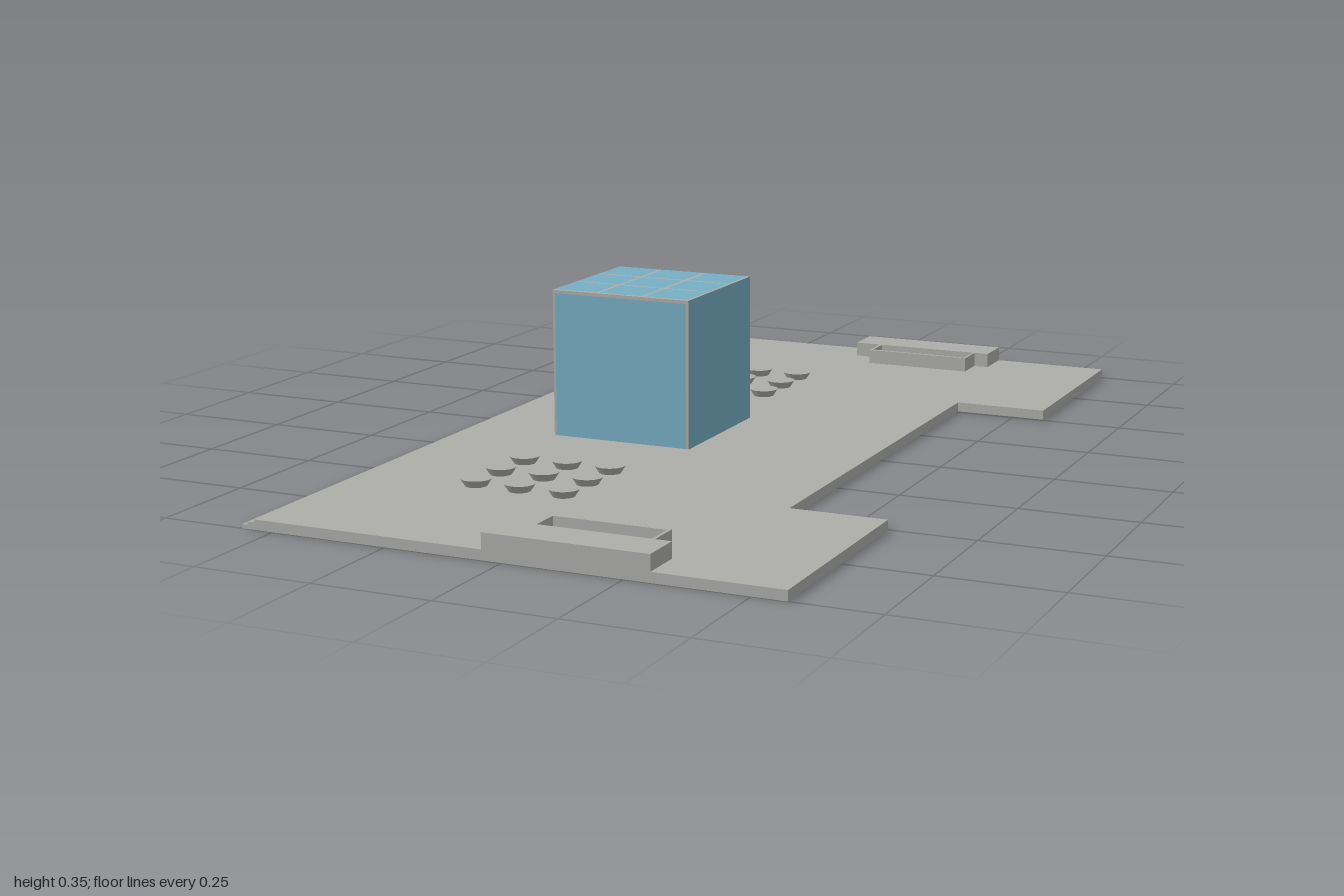
import * as THREE from 'three';

export function createModel() {
  const model = new THREE.Group();
  model.name = 'hullSection';
  const grey = new THREE.MeshStandardMaterial({ color: 0xadaeaa });
  grey.name = 'hull grey';
  const blue = new THREE.MeshStandardMaterial({ color: 0x76aec4 });
  blue.name = 'panel blue';

  const add = (name, geometry, material, parent = model) => {
    const mesh = new THREE.Mesh(geometry, material);
    mesh.name = name;
    parent.add(mesh);
    return mesh;
  };
  // Box given by its limits on each axis
  const box = (name, x0, x1, y0, y1, z0, z1, material = grey, parent = model) => {
    const mesh = add(name, new THREE.BoxGeometry(x1 - x0, y1 - y0, z1 - z0), material, parent);
    mesh.position.set((x0 + x1) / 2, (y0 + y1) / 2, (z0 + z1) / 2);
    return mesh;
  };

  // Notched deck outline, drawn in x and -z; inset shrinks it on all sides
  const outline = (left, i = 0) => [
    [left + i, -1 + i], [0.57 - i, -1 + i], [0.57 - i, -0.503 - i], [0.365 - i, -0.503 - i],
    [0.365 - i, 0.508 + i], [0.57 - i, 0.508 + i], [0.57 - i, 1 - i], [left + i, 1 - i],
  ].map(([x, y]) => new THREE.Vector2(x, y));
  const layer = (name, left, y0, y1, rim = 0) => {
    const shape = new THREE.Shape(outline(left));
    if (rim) shape.holes.push(new THREE.Path(outline(left, rim)));
    const geometry = new THREE.ExtrudeGeometry(shape, { depth: y1 - y0, bevelEnabled: false });
    geometry.rotateX(-Math.PI / 2).translate(0, y0, 0);
    add(name, geometry, grey);
  };

  // Deck in three layers, stepped along the -x edge; the lowest is a hollow rim
  layer('undersideRim', -0.57, 0, 0.008, 0.008);
  layer('deckMiddle', -0.557, 0.008, 0.015);
  layer('deckTop', -0.542, 0.015, 0.021);
  box('edgeStep', -0.57, -0.557, 0.0075, 0.0085, -1, 1);

  // Underside ribs
  const ribs = new THREE.Group();
  ribs.name = 'undersideRibs';
  model.add(ribs);
  const rib = (x0, x1, z0, z1) => box('rib', x0, x1, 0.0005, 0.0085, z0, z1, grey, ribs);
  const t = 0.003;
  for (const x of [-0.34, -0.015]) rib(x - t, x + t, -0.995, 0.995);
  for (const s of [-1, 1]) {
    const crossRib = (x0, x1, z) => rib(x0, x1, s * z - t, s * z + t);
    crossRib(-0.34, -0.015, 0.162);
    crossRib(-0.015, 0.36, 0.85);
    crossRib(-0.015, 0.36, 0.93);
    const span = (x, a, b) => rib(x - t, x + t, Math.min(s * a, s * b), Math.max(s * a, s * b));
    span(0.36, 0.5, 0.995);
    for (let i = 1; i < 5; i++) span(-0.015 + i * 0.075, 0.85, 0.93);
  }

  // Round vent under the tower
  const vent = new THREE.Group();
  vent.name = 'undersideVent';
  vent.position.set(-0.178, 0.0045, 0);
  model.add(vent);
  for (const [outer, inner] of [[0.116, 0.104], [0.045, 0.037]]) {
    const ring = new THREE.Shape().absarc(0, 0, outer, 0, Math.PI * 2);
    ring.holes.push(new THREE.Path().absarc(0, 0, inner, 0, Math.PI * 2));
    const geometry = new THREE.ExtrudeGeometry(ring, { depth: 0.008, bevelEnabled: false, curveSegments: 24 });
    add('ventRing', geometry.rotateX(-Math.PI / 2).translate(0, -0.004, 0), grey, vent);
  }
  for (let i = 0; i < 32; i++) {
    const fin = new THREE.BoxGeometry(0.094, 0.007, 0.003).translate(0.059, 0, 0);
    add('ventFin', fin, grey, vent).rotation.y = (i / 32) * Math.PI * 2;
  }

  // Tower: grey core faced with blue panels
  const [x0, x1, y0, y1, z0, z1] = [-0.339, -0.015, 0.021, 0.344, -0.17, 0.154];
  const [cx, cy, cz] = [(x0 + x1) / 2, (y0 + y1) / 2, (z0 + z1) / 2];
  const [w, h, d] = [x1 - x0, y1 - y0, z1 - z0];
  box('towerCore', x0, x1, y0, y1, z0, z1);
  const lift = 0.0012;
  for (const s of [-1, 1]) {
    const face = add('towerFace', new THREE.PlaneGeometry(w - 0.012, h - 0.007), blue);
    face.position.set(cx, cy - 0.0035, cz + s * (d / 2 + lift));
    face.rotation.y = s > 0 ? 0 : Math.PI;
    const side = add('towerSide', new THREE.PlaneGeometry(d, h), blue);
    side.position.set(cx + s * (w / 2 + lift), cy, cz);
    side.rotation.y = s * Math.PI / 2;
  }
  // Roof tiles, three by three with grey joints
  for (let i = -1; i <= 1; i++) {
    for (let j = -1; j <= 1; j++) {
      const tile = add('roofTile', new THREE.PlaneGeometry(w / 3 - 0.008, d / 3 - 0.008), blue);
      tile.rotation.x = -Math.PI / 2;
      tile.position.set(cx + i * w / 3, y1 + lift, cz + j * d / 3);
    }
  }
  box('towerAnnex', -0.387, x0, y0, 0.138, -0.07, 0.045, blue);

  // Two grids of tapered studs
  const stud = new THREE.CylinderGeometry(0.033, 0.023, 0.016, 24);
  for (const [x, z] of [[-0.18, 0.5], [-0.177, -0.498]]) {
    for (let i = -1; i <= 1; i++) {
      for (let j = -1; j <= 1; j++) {
        add('stud', stud, grey).position.set(x + i * 0.1, 0.029, z + j * 0.102);
      }
    }
  }

  // End blocks, each with a thin-walled open tray on the inner side
  for (const s of [-1, 1]) {
    const part = (name, a, b, n, m) =>
      box(name, a, b, 0.02, 0.054, Math.min(s * n, s * m), Math.max(s * n, s * m));
    part('endBlock', -0.042, 0.304, 0.91, 1);
    part('trayWall', 0.02, 0.27, 0.838, 0.846);
    part('trayEnd', 0.02, 0.026, 0.846, 0.91);
    part('trayEnd', 0.264, 0.27, 0.846, 0.91);
  }
  return model;
}
